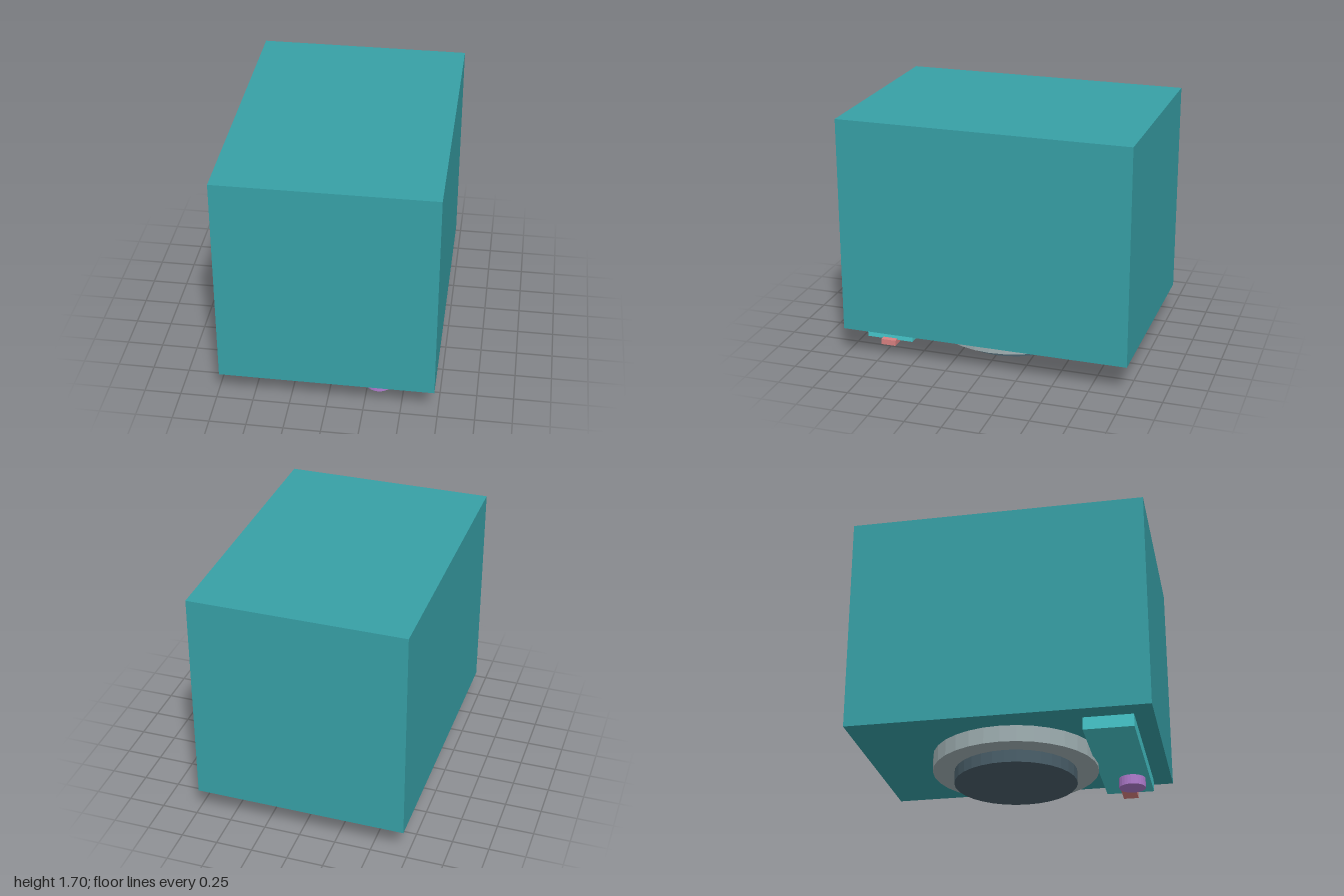
import * as THREE from 'three';

const material = (name, color) => {
  const m = new THREE.MeshStandardMaterial({ color });
  m.name = name;
  return m;
};

export function createModel() {
  const group = new THREE.Group();
  group.name = 'housingOnRoundBase';

  const add = (name, geometry, mat, x, y, z) => {
    const mesh = new THREE.Mesh(geometry, mat);
    mesh.name = name;
    mesh.position.set(x, y, z);
    group.add(mesh);
  };
  // Box given by its min and max corners
  const box = (name, mat, [x0, y0, z0], [x1, y1, z1]) =>
    add(name, new THREE.BoxGeometry(x1 - x0, y1 - y0, z1 - z0), mat,
      (x0 + x1) / 2, (y0 + y1) / 2, (z0 + z1) / 2);
  // Upright faceted disc between two heights
  const disc = (name, mat, radius, y0, y1, x = 0, z = 0, sides = 32) => {
    const g = new THREE.CylinderGeometry(radius, radius, y1 - y0, sides).toNonIndexed();
    g.computeVertexNormals();
    add(name, g, mat, x, (y0 + y1) / 2, z);
  };

  // Main housing
  box('housing', material('teal', 0x37a0a6), [-0.725, 0.2, -1], [0.725, 1.7, 1]);

  // Stepped round base under the housing
  disc('mountingRing', material('light grey', 0xa0b0b3), 0.562, 0.084, 0.195);
  disc('foot', material('slate', 0x4a5f6a), 0.416, 0, 0.084);

  // Front underside plate with its knob and side tab
  box('frontPlate', material('cyan', 0x46c8cc), [-0.605, 0.107, 0.544], [0.605, 0.191, 0.874]);
  disc('knob', material('purple', 0xb07ccf), 0.092, 0.04, 0.11, 0.332, 0.751, 24);
  box('sideTab', material('coral', 0xd98080), [0.435, 0.078, 0.656], [0.644, 0.117, 0.76]);

  return group;
}
